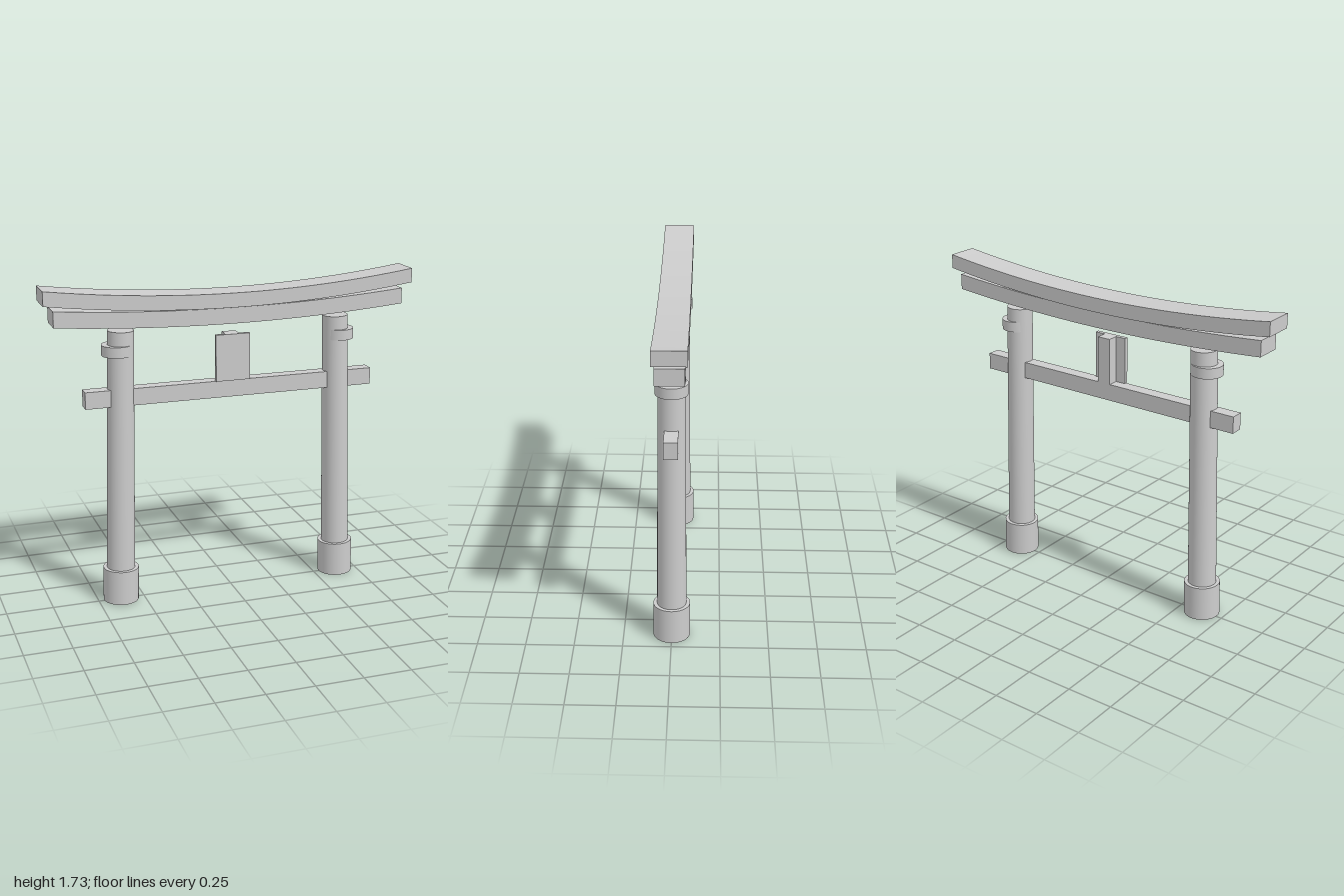
import * as THREE from 'three';

const stone = new THREE.MeshStandardMaterial({ color: 0xcccccc });
stone.name = 'pale grey';

function add(parent, name, geometry, x = 0, y = 0, z = 0) {
  const mesh = new THREE.Mesh(geometry, stone);
  mesh.name = name;
  mesh.position.set(x, y, z);
  parent.add(mesh);
  return mesh;
}

// Beam with a parabolic sag: vertical ends, constant height
function curvedBeam(halfLength, bottom, height, rise, depth) {
  const steps = 32;
  const lower = [], upper = [];
  for (let i = 0; i <= steps; i++) {
    const t = (i / steps) * 2 - 1;
    const y = bottom + rise * t * t;
    lower.push(new THREE.Vector2(t * halfLength, y));
    upper.unshift(new THREE.Vector2(t * halfLength, y + height));
  }
  const shape = new THREE.Shape([...lower, ...upper]);
  const geometry = new THREE.ExtrudeGeometry(shape, { depth, bevelEnabled: false });
  return geometry.translate(0, 0, -depth / 2);
}

export function createModel() {
  const gate = new THREE.Group();
  gate.name = 'gate';

  // Two stacked lintels, the upper one sweeping up more
  add(gate, 'topLintel', curvedBeam(1, 1.581, 0.076, 0.07, 0.167));
  add(gate, 'lowerLintel', curvedBeam(0.95, 1.494, 0.084, 0.043, 0.142));

  // Straight tie beam with the tablet and its strut
  add(gate, 'tieBeam', new THREE.BoxGeometry(1.59, 0.09, 0.07), 0, 1.137, 0);
  add(gate, 'centreStrut', new THREE.BoxGeometry(0.075, 0.252, 0.07), 0, 1.306, 0);
  add(gate, 'tablet', new THREE.BoxGeometry(0.188, 0.25, 0.022), 0, 1.307, 0.034);

  // Inward-leaning posts with base sleeves; the collars stay upright
  for (const side of [-1, 1]) {
    const post = new THREE.Group();
    post.name = side > 0 ? 'leftPost' : 'rightPost';
    post.position.set(side * 0.627, 0.002, 0);
    post.rotation.z = side * 0.0231;
    add(post, 'shaft', new THREE.CylinderGeometry(0.0685, 0.0762, 1.48, 40), 0, 0.746, 0);
    add(post, 'baseSleeve', new THREE.CylinderGeometry(0.095, 0.095, 0.187, 40), 0, 0.0935, 0);
    gate.add(post);
    add(gate, side > 0 ? 'leftCollar' : 'rightCollar',
      new THREE.CylinderGeometry(0.082, 0.082, 0.056, 40), side * 0.613, 1.387, 0);
  }
  return gate;
}
